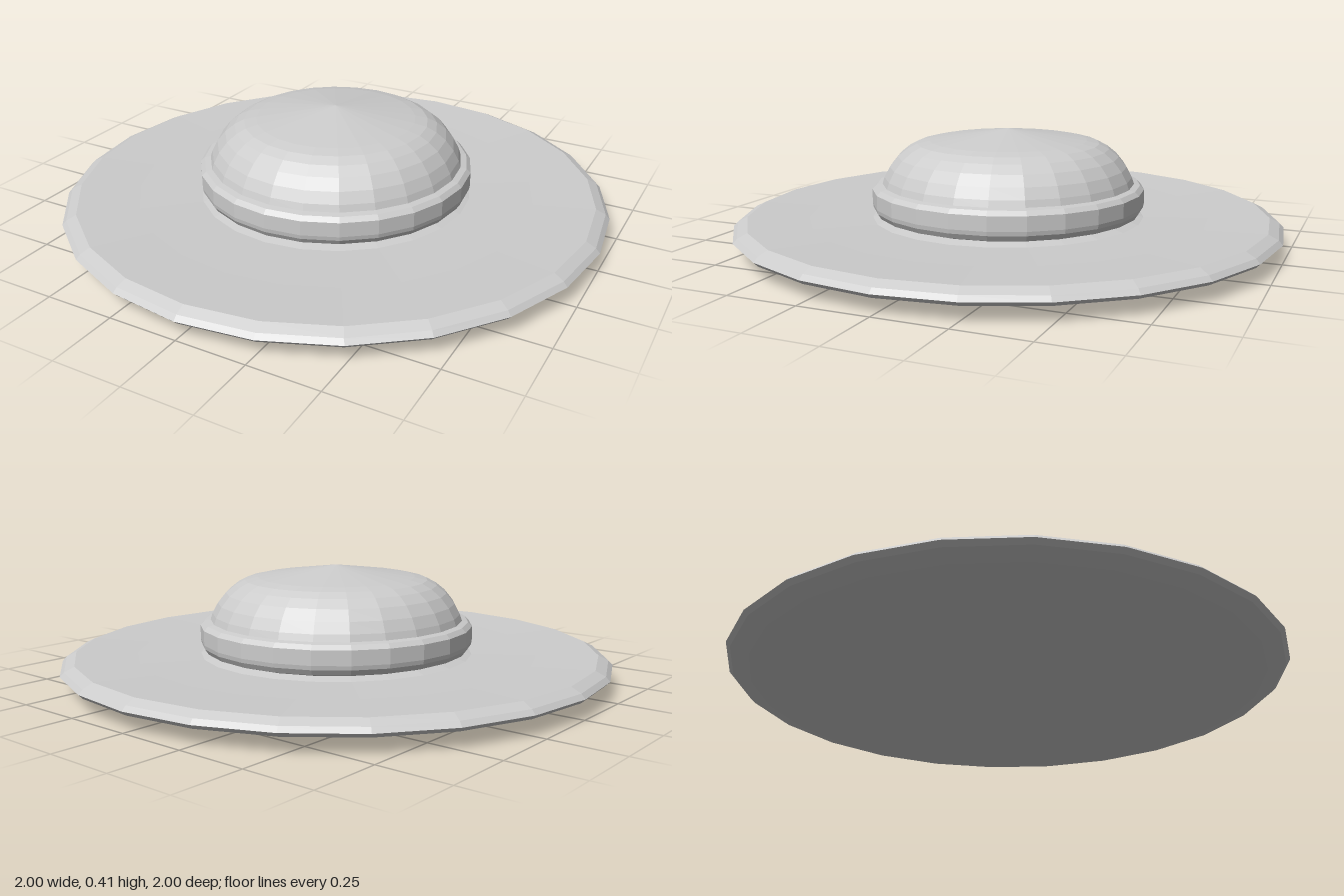
import * as THREE from 'three';

const SEGMENTS = 24;

export function createModel() {
  const model = new THREE.Group();
  model.name = 'domedDisc';

  const grey = new THREE.MeshStandardMaterial({ color: 0xcccccc, flatShading: true });
  grey.name = 'grey';

  // Turns a profile of [radius, height] points, listed from bottom to top
  const turn = (name, profile) => {
    const points = profile.map(([r, y]) => new THREE.Vector2(r, y));
    const mesh = new THREE.Mesh(new THREE.LatheGeometry(points, SEGMENTS), grey);
    mesh.name = name;
    model.add(mesh);
  };

  // Wide disc: shallow cone below, bevelled rim, slightly dished top
  turn('disc', [
    [0, 0], [0.92, 0.034], [0.985, 0.052], [1, 0.067], [0.985, 0.083],
    [0.95, 0.1], [0.73, 0.092], [0.5, 0.088], [0.45, 0.1], [0, 0.1],
  ]);

  // Raised collar with chamfered edges
  turn('collar', [
    [0.45, 0.095], [0.485, 0.106], [0.497, 0.125], [0.5, 0.14],
    [0.5, 0.192], [0.485, 0.207], [0.46, 0.212],
  ]);

  // Rounded dome closed by a shallow cone
  turn('dome', [
    [0.465, 0.205], [0.455, 0.235], [0.435, 0.273], [0.405, 0.31],
    [0.37, 0.338], [0.335, 0.356], [0.29, 0.366], [0, 0.408],
  ]);

  return model;
}
